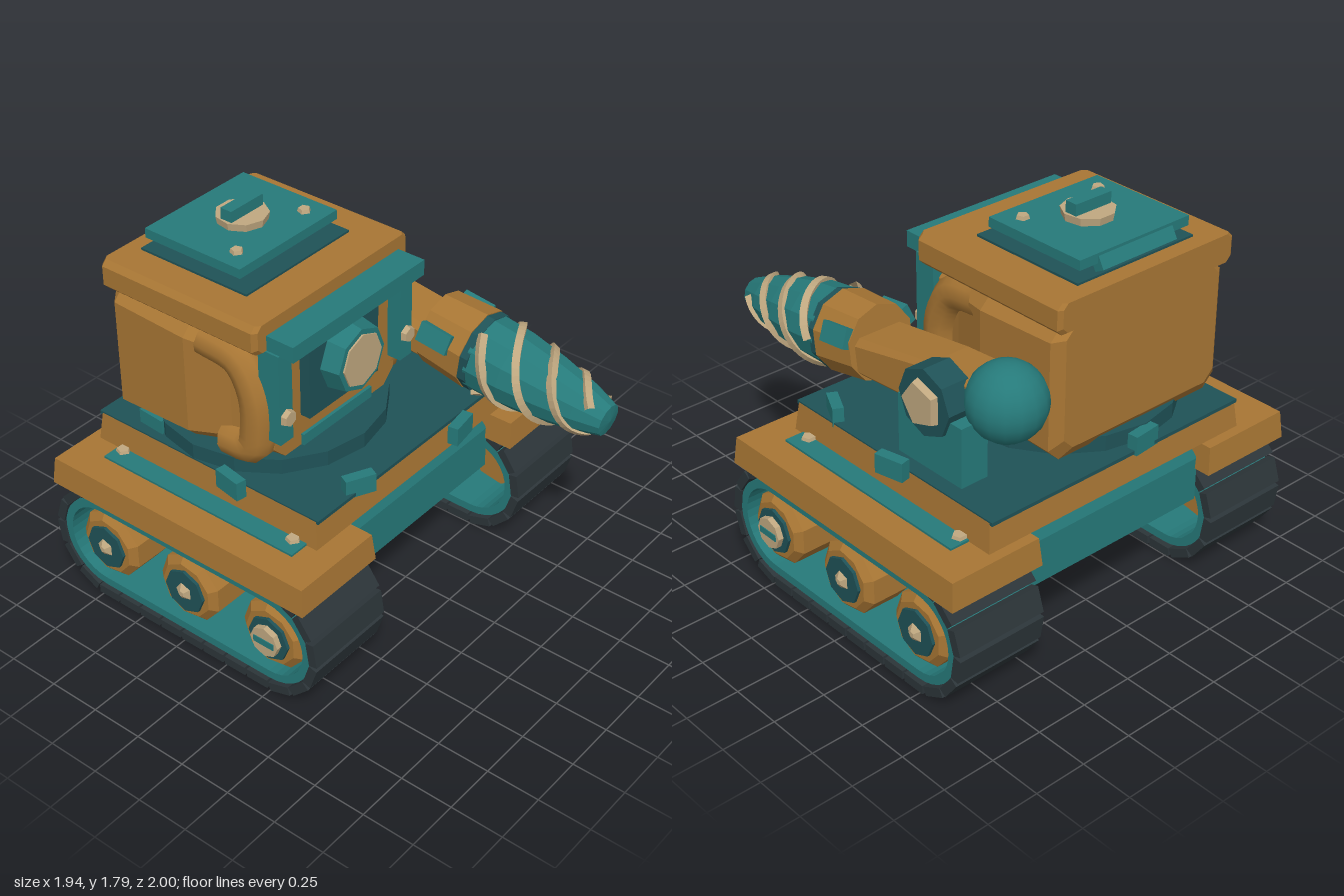
import * as THREE from 'three';

const mat = (color, flatShading = true) => new THREE.MeshStandardMaterial({ color, flatShading, side: THREE.DoubleSide });
const orange = mat(0xa87634), teal = mat(0x267a7a), dark = mat(0x1f5257), tan = mat(0xc0a880), rubber = mat(0x2c3539);
const smoothTeal = mat(0x267a7a, false), smoothOrange = mat(0xa87634, false);

function add(parent, name, geometry, material, x = 0, y = 0, z = 0) {
  const mesh = new THREE.Mesh(geometry, material);
  mesh.name = name;
  mesh.position.set(x, y, z);
  parent.add(mesh);
  return mesh;
}

// Block between two corners; the top is drawn in by `inset`
function block(parent, name, material, [x0, x1], [y0, y1], [z0, z1], inset = 0) {
  const w = x1 - x0, d = z1 - z0;
  const g = new THREE.BoxGeometry(w, y1 - y0, d), p = g.attributes.position;
  for (let i = 0; i < p.count; i++) {
    if (p.getY(i) > 0) {
      p.setX(i, p.getX(i) * (1 - 2 * inset / w));
      p.setZ(i, p.getZ(i) * (1 - 2 * inset / d));
    }
  }
  return add(parent, name, g, material, (x0 + x1) / 2, (y0 + y1) / 2, (z0 + z1) / 2);
}

// Disc lying across an axis, optionally tapered towards the positive end
function disc(parent, name, material, axis, r, depth, sides, x, y, z, rEnd = r) {
  const g = new THREE.CylinderGeometry(rEnd, r, depth, sides);
  if (axis === 'x') g.rotateZ(-Math.PI / 2);
  if (axis === 'z') g.rotateX(Math.PI / 2);
  return add(parent, name, g, material, x, y, z);
}

// Closed skin through octagonal sections [z, halfWidth, yLow, yHigh, corner]
function loft(sections) {
  const pos = [], idx = [], n = 8;
  for (const [z, w, lo, hi, c] of sections) {
    for (const [x, y] of [[w - c, lo], [w, lo + c], [w, hi - c], [w - c, hi], [c - w, hi], [-w, hi - c], [-w, lo + c], [c - w, lo]]) pos.push(x, y, z);
  }
  for (let s = 0; s < sections.length - 1; s++) {
    for (let i = 0; i < n; i++) {
      const a = s * n + i, b = s * n + (i + 1) % n;
      idx.push(a, b, b + n, a, b + n, a + n);
    }
  }
  const last = (sections.length - 1) * n;
  for (let i = 1; i < n - 1; i++) idx.push(0, i + 1, i, last, last + i, last + i + 1);
  const g = new THREE.BufferGeometry();
  g.setAttribute('position', new THREE.Float32BufferAttribute(pos, 3));
  g.setIndex(idx);
  g.computeVertexNormals();
  return g;
}

const TRACK = { y: 0.3, front: 0.22, back: -0.71 };

// Stadium outline, with the track's length along the first axis
function stadium(Type, r) {
  const s = new Type();
  s.absarc(TRACK.front + 0.02, 0, r, -Math.PI / 2, Math.PI / 2, false);
  s.absarc(TRACK.back - 0.02, 0, r, Math.PI / 2, Math.PI * 1.5, false);
  s.closePath();
  return s;
}

// One track on the given side (+1 is the model's left)
function buildTrack(side) {
  const g = new THREE.Group();
  g.name = side > 0 ? 'leftTrack' : 'rightTrack';
  const outline = stadium(THREE.Shape, 0.23);
  outline.holes.push(stadium(THREE.Path, 0.19));
  const beltGeo = new THREE.ExtrudeGeometry(outline, { depth: 0.43, bevelEnabled: false, curveSegments: 8 });
  beltGeo.rotateY(-Math.PI / 2);
  add(g, 'belt', beltGeo, teal, side * 0.725 + 0.215, TRACK.y, 0);

  // Tread plates follow the stadium
  const r = 0.268, len = TRACK.front - TRACK.back, total = 2 * len + 2 * Math.PI * r, count = 28;
  for (let i = 0; i < count; i++) {
    let s = i / count * total, z, y, a;
    if (s < len) { z = TRACK.back + s; y = -r; a = 0; }
    else if ((s -= len) < Math.PI * r) { a = s / r; z = TRACK.front + r * Math.sin(a); y = -r * Math.cos(a); }
    else if ((s -= Math.PI * r) < len) { z = TRACK.front - s; y = r; a = Math.PI; }
    else { a = Math.PI + (s - len) / r; z = TRACK.back + r * Math.sin(a); y = -r * Math.cos(a); }
    const plate = add(g, 'treadPlate', new THREE.BoxGeometry(0.45, 0.042, 0.115), rubber, side * 0.725, TRACK.y + y, z);
    plate.rotation.x = -a;
  }

  // Road wheels sit in the outer half of the belt
  [0.24, -0.24, -0.715].forEach((z, i) => {
    const w = new THREE.Group();
    w.name = 'roadWheel';
    w.position.set(side * 0.725, 0.29, z);
    w.rotation.y = side > 0 ? 0 : Math.PI;
    g.add(w);
    disc(w, 'tyre', orange, 'x', 0.17, 0.18, 9, 0.08, 0, 0);
    disc(w, 'tyreBevel', orange, 'x', 0.17, 0.03, 9, 0.185, 0, 0, 0.135);
    disc(w, 'hubPlate', dark, 'x', 0.108, 0.02, 8, 0.205, 0, 0);
    if (i === 0) {
      disc(w, 'hubCap', tan, 'x', 0.075, 0.04, 8, 0.222, 0, 0);
      block(w, 'hubSlot', teal, [0.235, 0.246], [-0.016, 0.016], [-0.055, 0.055]);
    } else disc(w, 'hubNut', tan, 'x', 0.06, 0.03, 5, 0.22, 0, 0, 0.015);
  });

  // Fender with its side strip and rivets
  const span = (a, b) => side > 0 ? [a, b] : [-b, -a];
  block(g, 'fender', orange, span(0.49, 0.97), [0.55, 0.68], [-0.98, 0.46], 0.012);
  block(g, 'fenderStrip', teal, span(0.7, 0.82), [0.67, 0.69], [-0.8, 0.28]);
  for (const z of [0.22, -0.76]) disc(g, 'rivet', tan, 'y', 0.036, 0.02, 5, side * 0.74, 0.695, z, 0.03);
  return g;
}

function buildTurret() {
  const g = new THREE.Group();
  g.name = 'turret';
  g.position.x = -0.19;
  disc(g, 'turretRing', dark, 'y', 0.52, 0.09, 16, 0, 0.85, -0.36);
  // Cabin narrows towards the front, leaving a hollow behind each guard
  add(g, 'cabin', loft([[-0.84, 0.44, 0.92, 1.48, 0.05], [-0.8, 0.49, 0.86, 1.48, 0.06], [-0.4, 0.5, 0.87, 1.48, 0.07],
    [-0.2, 0.44, 0.87, 1.48, 0.1], [0.0, 0.4, 0.87, 1.48, 0.09]]), orange);
  for (const s of [-1, 1]) {
    const path = new THREE.CatmullRomCurve3([[0.42, 1.41, -0.34], [0.41, 1.37, -0.16], [0.41, 1.24, -0.08], [0.41, 1.08, -0.07], [0.41, 0.96, -0.1], [0.41, 0.94, -0.24]]
      .map(([x, y, z]) => new THREE.Vector3(s * x, y, z)));
    add(g, 'sideGuard', new THREE.TubeGeometry(path, 18, 0.085, 10), smoothOrange);
  }
  add(g, 'roof', loft([[-0.86, 0.48, 1.48, 1.61, 0.025], [-0.845, 0.5, 1.47, 1.61, 0.025], [-0.02, 0.5, 1.47, 1.61, 0.025], [0, 0.48, 1.48, 1.61, 0.025]]), orange);
  block(g, 'brow', teal, [-0.43, 0.43], [1.475, 1.55], [-0.02, 0.14]);
  for (const s of [-1, 1]) {
    block(g, 'frontPost', teal, [s * 0.4 - 0.04, s * 0.4 + 0.04], [1.04, 1.48], [-0.04, 0.07]);
    disc(g, 'postRivet', tan, 'z', 0.042, 0.03, 6, s * 0.4, 1.165, 0.08, 0.035);
  }
  // Front window
  block(g, 'windowPanel', dark, [-0.23, 0.23], [1.05, 1.47], [-0.03, 0.05]);
  block(g, 'chinPanel', teal, [-0.23, 0.23], [0.87, 0.95], [-0.03, 0.015]);
  disc(g, 'windowRing', teal, 'z', 0.165, 0.09, 8, 0, 1.27, 0.1, 0.15);
  disc(g, 'windowGlass', tan, 'z', 0.125, 0.03, 8, 0, 1.27, 0.138);
  // Roof hatch
  block(g, 'hatchBase', dark, [-0.33, 0.33], [1.6, 1.62], [-0.78, -0.19]);
  block(g, 'hatchLid', teal, [-0.31, 0.31], [1.665, 1.71], [-0.77, -0.24]);
  const hinge = block(g, 'hatchHinge', teal, [-0.21, 0.21], [1.63, 1.69], [-0.79, -0.74]);
  hinge.rotation.x = 0.5;
  disc(g, 'hatchKnob', tan, 'y', 0.112, 0.035, 9, 0, 1.73, -0.5, 0.118);
  block(g, 'hatchHandle', teal, [-0.1, 0.1], [1.745, 1.8], [-0.53, -0.47]);
  for (const s of [-1, 1]) disc(g, 'hatchRivet', tan, 'y', 0.032, 0.02, 5, s * 0.215, 1.717, -0.34, 0.026);
  return g;
}

function buildDrillArm() {
  const g = new THREE.Group();
  g.name = 'drillArm';
  block(g, 'shoulderBracket', teal, [0.5, 0.64], [0.81, 1.1], [-0.66, -0.27]);
  disc(g, 'shoulderDisc', dark, 'x', 0.155, 0.14, 8, 0.59, 1.14, -0.455);
  disc(g, 'shoulderBolt', tan, 'x', 0.11, 0.04, 5, 0.672, 1.14, -0.455, 0.1);
  add(g, 'counterweight', new THREE.SphereGeometry(0.175, 16, 12), smoothTeal, 0.43, 1.165, -0.695);
  add(g, 'armBeam', loft([[-0.62, 0.12, 1.03, 1.25, 0.02], [-0.35, 0.12, 1.01, 1.23, 0.02], [0.15, 0.14, 0.98, 1.15, 0.03]]), orange, 0.43);

  // Drill and collar point forward and slightly down
  const head = new THREE.Group();
  head.name = 'drillHead';
  head.position.set(0.43, 1.1, 0.1);
  head.quaternion.setFromUnitVectors(new THREE.Vector3(0, 1, 0), new THREE.Vector3(0, -0.115, 0.9).normalize());
  g.add(head);
  disc(head, 'collar', orange, 'y', 0.175, 0.23, 10, 0, 0.11, 0, 0.19);
  disc(head, 'collarRing', dark, 'y', 0.185, 0.05, 10, 0, 0.24, 0);
  for (const a of [-0.4, Math.PI + 0.4]) {
    const clamp = add(head, 'collarClamp', new THREE.BoxGeometry(0.04, 0.16, 0.09), teal, 0.178 * Math.cos(a), 0.08, 0.178 * Math.sin(a));
    clamp.rotation.y = -a;
  }
  const profile = [[0, 0.24], [0.18, 0.25], [0.175, 0.42], [0.15, 0.6], [0.115, 0.77], [0.075, 0.895], [0, 0.905]];
  add(head, 'drillBit', new THREE.LatheGeometry(profile.map(([r, y]) => new THREE.Vector2(r, y)), 12), teal);
  // Three spiral cutting ridges
  for (let k = 0; k < 3; k++) {
    const pts = [];
    for (let i = 0; i <= 24; i++) {
      const t = i / 24, a = -(t * 2.1 + k * 2 / 3) * Math.PI, r = 0.182 - 0.03 * t - 0.06 * t * t;
      pts.push(new THREE.Vector3(r * Math.cos(a), 0.27 + 0.56 * t, r * Math.sin(a)));
    }
    add(head, 'spiralRidge', new THREE.TubeGeometry(new THREE.CatmullRomCurve3(pts), 36, 0.024, 4), tan);
  }
  return g;
}

export function createModel() {
  const model = new THREE.Group();
  model.name = 'drillTank';
  // Hull and deck
  block(model, 'hull', teal, [-0.5, 0.5], [0.39, 0.6], [-0.9, 0.32]);
  block(model, 'hullShoulder', teal, [-0.5, 0.5], [0.6, 0.68], [-0.9, 0.32], 0.03);
  block(model, 'deck', orange, [-0.725, 0.725], [0.68, 0.815], [-0.92, 0.335], 0.015);
  block(model, 'deckPlate', dark, [-0.71, 0.71], [0.805, 0.822], [-0.92, 0.332]);
  for (const side of [-1, 1]) model.add(buildTrack(side));
  model.add(buildTurret(), buildDrillArm());

  // Small blocks around the deck rim: x, z, turn
  const cleats = [[-0.43, 0.32, -0.45], [0.15, 0.42, 0.15], [-0.76, -0.1, 1.4], [0.76, -0.37, -1.35],
    [0.66, 0.13, 1.1], [-0.15, -0.9, 0.1], [-0.64, -0.65, 1.5]];
  for (const [x, z, turn] of cleats) {
    const c = add(model, 'deckCleat', new THREE.BoxGeometry(0.14, 0.09, 0.05), teal, x, 0.845, z);
    c.rotation.y = turn;
  }
  return model;
}
